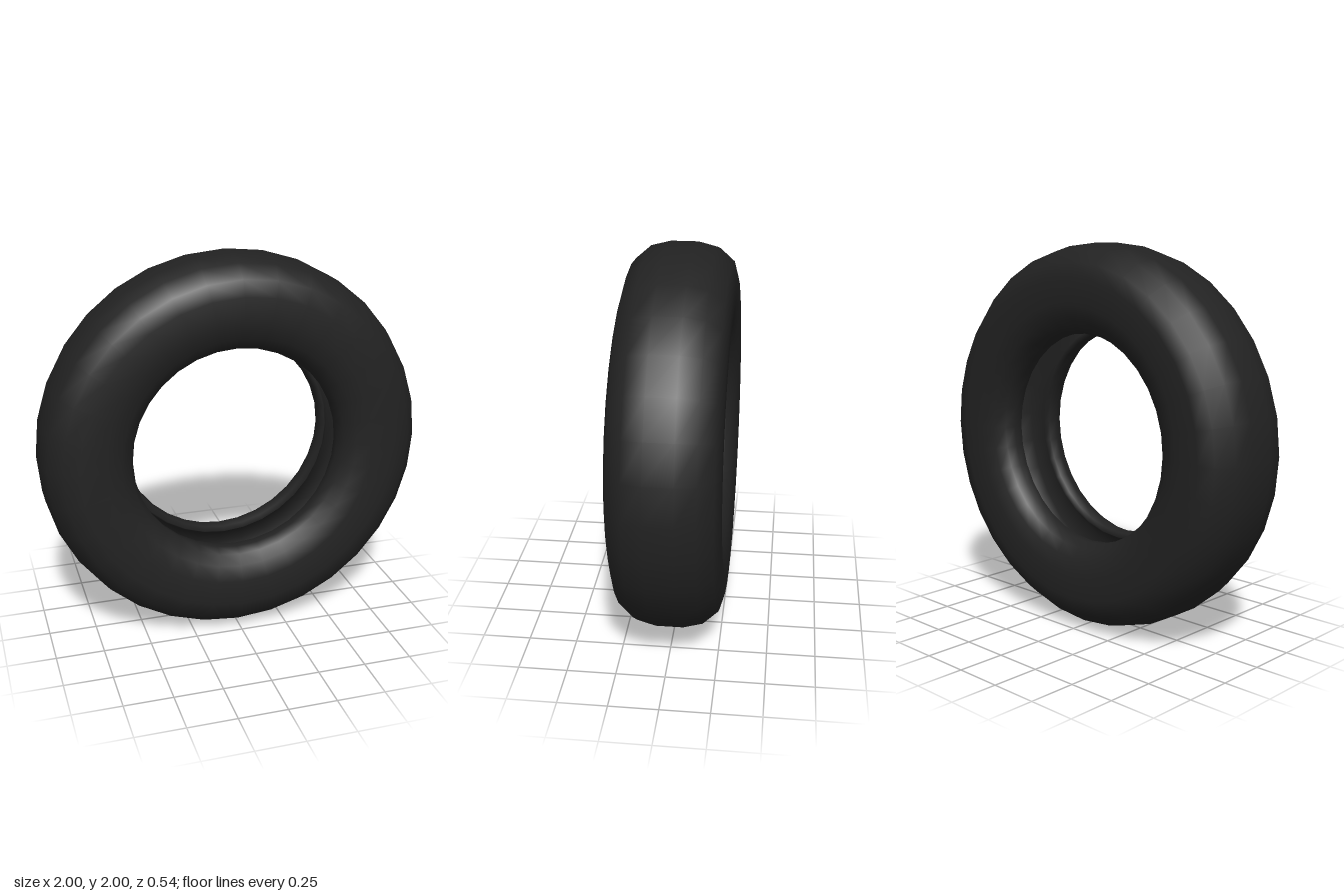
import * as THREE from 'three';

// Half of the tyre section, from tread centre over sidewall and bead into the hollow: [radius, offset]
const half = [
  [1.0, 0.07], [0.975, 0.17], [0.91, 0.245], [0.83, 0.268], [0.7, 0.268],
  [0.62, 0.245], [0.568, 0.205], [0.546, 0.155], [0.55, 0.105], [0.572, 0.088],
  [0.584, 0.108], [0.62, 0.17], [0.7, 0.215], [0.82, 0.215], [0.9, 0.15],
];

export function createModel() {
  const group = new THREE.Group();
  group.name = 'tyre';
  const rubber = new THREE.MeshStandardMaterial({ color: 0x222222 });
  rubber.name = 'black rubber';

  // Closed section: inner liner, back sidewall, tread, front sidewall, inner liner
  const back = half.map(([r, z]) => new THREE.Vector2(r, -z)).reverse();
  const front = half.map(([r, z]) => new THREE.Vector2(r, z));
  const liner = new THREE.Vector2(0.93, 0);
  const section = [liner, ...back, ...front, liner.clone()];

  const geometry = new THREE.LatheGeometry(section, 32);
  geometry.rotateX(Math.PI / 2);
  const tyre = new THREE.Mesh(geometry, rubber);
  tyre.name = 'tyreBody';
  tyre.position.y = 1;
  group.add(tyre);
  return group;
}
